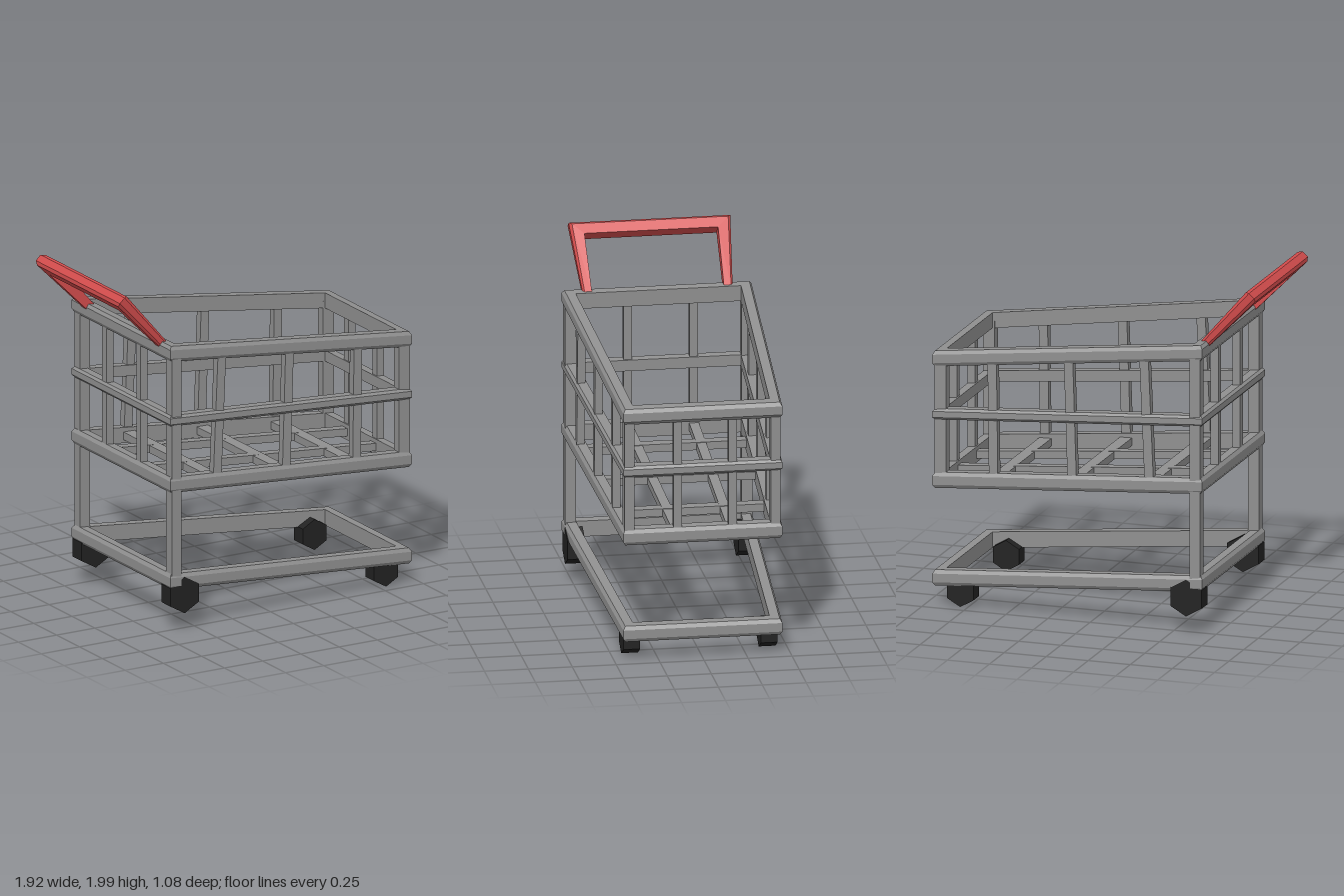
import * as THREE from 'three';

const metal = new THREE.MeshStandardMaterial({ color: 0x909090 });
metal.name = 'grey metal';
const red = new THREE.MeshStandardMaterial({ color: 0xd24c4c });
red.name = 'red handle';
const rubber = new THREE.MeshStandardMaterial({ color: 0x222222 });
rubber.name = 'black rubber';

// plan of the cart: wide at the back (-x), narrow at the front (+x)
const BACK = -0.68, FRONT = 0.955;
const halfWidth = (x) => THREE.MathUtils.mapLinear(x, BACK, FRONT, 0.54, 0.452);
const slope = (yBack, yFront) => (x) => THREE.MathUtils.mapLinear(x, BACK, FRONT, yBack, yFront);
const topY = slope(1.64, 1.435), midY = slope(1.243, 1.112);
const floorY = slope(0.865, 0.727), baseY = slope(0.295, 0.158);

// square bar profile with chamfered outer edges: [0 outer .. 1 inner, -1 .. 1 height]
const PROFILE = [[0, -0.55], [0, 0.55], [0.2, 1], [1, 1], [1, -1], [0.2, -1]];

// mitred frame swept along outer/inner corner points; place(u, w, v, i) gives the position
function frameGeometry(outer, inner, closed, place) {
  const rows = outer.map((o, i) => PROFILE.map(([t, v]) => place(
    o[0] + (inner[i][0] - o[0]) * t, o[1] + (inner[i][1] - o[1]) * t, v, i)));
  const n = rows.length, m = PROFILE.length, pos = [];
  const tri = (a, b, c) => pos.push(...a, ...b, ...c);
  for (let i = 0; i < (closed ? n : n - 1); i++) {
    const p = rows[i], q = rows[(i + 1) % n];
    for (let j = 0; j < m; j++) {
      const k = (j + 1) % m;
      tri(p[j], q[j], q[k]);
      tri(p[j], q[k], p[k]);
    }
  }
  if (!closed) {
    const p = rows[0], q = rows[n - 1];
    for (let j = 1; j < m - 1; j++) {
      tri(p[0], p[j], p[j + 1]);
      tri(q[0], q[j + 1], q[j]);
    }
  }
  const g = new THREE.BufferGeometry();
  g.setAttribute('position', new THREE.Float32BufferAttribute(pos, 3));
  g.computeVertexNormals();
  return g;
}

// box bar from a to b along one main axis, sheared so its ends stay square to that axis
function barGeometry(axis, a, b, size) {
  const g = new THREE.BoxGeometry(1, 1, 1);
  const p = g.attributes.position;
  const v = new THREE.Vector3(), c = new THREE.Vector3();
  const A = new THREE.Vector3(...a), B = new THREE.Vector3(...b);
  for (let i = 0; i < p.count; i++) {
    v.fromBufferAttribute(p, i);
    c.lerpVectors(A, B, v[axis] + 0.5);
    v[axis] = 0;
    v.multiply(new THREE.Vector3(...size)).add(c);
    p.setXYZ(i, v.x, v.y, v.z);
  }
  g.computeVertexNormals();
  return g;
}

export function createModel() {
  const cart = new THREE.Group();
  cart.name = 'shoppingCart';
  const add = (name, geometry, material) => {
    const mesh = new THREE.Mesh(geometry, material);
    mesh.name = name;
    cart.add(mesh);
    return mesh;
  };
  const bar = (name, axis, a, b, size) => add(name, barGeometry(axis, a, b, size), metal);

  // four sloping trapezoid rings
  const corners = (d) => {
    const x0 = BACK + d, x1 = FRONT - d;
    const z0 = halfWidth(x0) - d, z1 = halfWidth(x1) - d;
    return [[x0, z0], [x1, z1], [x1, -z1], [x0, -z0]];
  };
  const rings = [['topRim', topY, 0.045], ['middleRail', midY, 0.032],
    ['floorRim', floorY, 0.046], ['baseFrame', baseY, 0.046]];
  for (const [name, y, h] of rings) {
    add(name, frameGeometry(corners(0), corners(0.067), true,
      (x, z, v) => [x, y(x) + v * h, z]), metal);
  }

  for (const s of [1, -1]) {
    // corner posts
    bar('rearPost', 'y', [-0.634, baseY(-0.634), s * 0.502], [-0.634, topY(-0.634), s * 0.502],
      [0.064, 1, 0.062]);
    bar('frontPost', 'y', [0.91, floorY(0.91), s * 0.416], [0.91, topY(0.91), s * 0.416],
      [0.07, 1, 0.055]);

    // slightly leaning side bars
    for (const [x0, x1] of [[-0.355, -0.322], [0.112, 0.135], [0.588, 0.597]]) {
      bar('sideBar', 'y', [x0, floorY(x0), s * (halfWidth(x0) - 0.034)],
        [x1, topY(x1), s * (halfWidth(x1) - 0.034)], [0.053, 1, 0.045]);
    }
  }

  // bars that run down the back, along the floor and up the front
  for (const [zBack, zFront] of [[0.172, 0.14], [-0.203, -0.172]]) {
    const xb = -0.645, xf = 0.92;
    bar('backBar', 'y', [xb, floorY(xb), zBack], [xb, topY(xb), zBack], [0.045, 1, 0.048]);
    bar('floorBar', 'x', [xb, floorY(xb), zBack], [xf, floorY(xf), zFront], [1, 0.045, 0.055]);
    bar('frontBar', 'y', [xf, floorY(xf), zFront], [xf, topY(xf), zFront], [0.045, 1, 0.048]);
  }

  // floor cross bars
  for (const x of [-0.355, 0.11, 0.58]) {
    const z = halfWidth(x) - 0.034;
    bar('floorCrossBar', 'z', [x, floorY(x), -z], [x, floorY(x), z], [0.07, 0.045, 1]);
  }

  // tilted push handle, arms thinning towards the basket
  const L = 0.45, dir = [-0.68, 0.733];
  const thick = [0.025, 0.038, 0.038, 0.025];
  add('handle', frameGeometry(
    [[0, 0.425], [L, 0.46], [L, -0.46], [0, -0.425]],
    [[0, 0.375], [L - 0.078, 0.38], [L - 0.078, -0.38], [0, -0.375]], false,
    (u, z, v, i) => [-0.64 + dir[0] * u - dir[1] * v * thick[i],
      1.65 + dir[1] * u + dir[0] * v * thick[i], z]), red);

  // six-sided wheels
  for (const [name, x, y, z, r, w] of [['rearWheel', -0.583, 0.205, 0.486, 0.107, 0.1],
    ['frontWheel', 0.793, 0.09, 0.391, 0.09, 0.095]]) {
    for (const s of [1, -1]) {
      const g = new THREE.CylinderGeometry(r, r, w, 6).rotateX(Math.PI / 2).toNonIndexed();
      g.computeVertexNormals();
      add(name, g, rubber).position.set(x, y, s * z);
    }
  }
  return cart;
}
